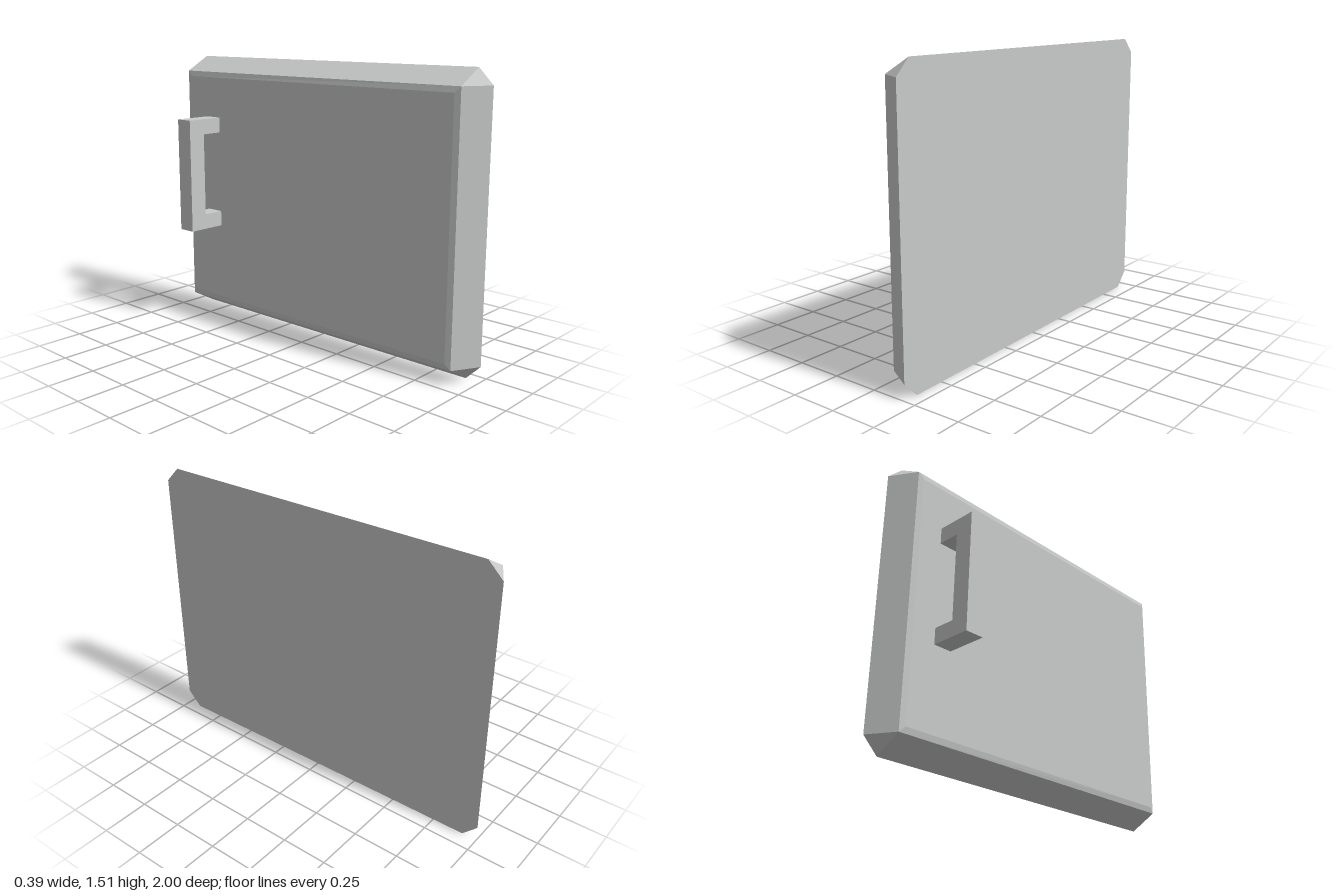
import * as THREE from 'three';

// Ring of eight points around the panel; a corner cut of 0 gives a rectangle.
function ring(halfZ, halfY, cut, x0, slope) {
  const points = [];
  for (const [su, sv, zFirst] of [[1, -1, false], [1, 1, true], [-1, 1, false], [-1, -1, true]]) {
    const onSide = [su * halfZ, sv * (halfY - cut)];
    const onTop = [su * (halfZ - cut), sv * halfY];
    const pair = zFirst ? [onSide, onTop] : [onTop, onSide];
    for (const [u, v] of pair) points.push(new THREE.Vector3(x0 - slope * u, 0.755 + v, -u));
  }
  return points;
}

// Closed solid through a list of rings, capped at both ends.
function loft(rings) {
  const positions = [];
  const triangle = (a, b, c) => {
    const area = b.clone().sub(a).cross(c.clone().sub(a)).length();
    if (area > 1e-8) for (const p of [a, b, c]) positions.push(p.x, p.y, p.z);
  };
  const first = rings[0], last = rings[rings.length - 1], n = first.length;
  for (let i = 1; i < n - 1; i++) {
    triangle(first[0], first[i], first[i + 1]);
    triangle(last[0], last[i + 1], last[i]);
  }
  for (let r = 0; r < rings.length - 1; r++) {
    const p = rings[r], q = rings[r + 1];
    for (let i = 0; i < n; i++) {
      const j = (i + 1) % n;
      triangle(p[i], q[i], p[j]);
      triangle(p[j], q[i], q[j]);
    }
  }
  const geometry = new THREE.BufferGeometry();
  geometry.setAttribute('position', new THREE.Float32BufferAttribute(positions, 3));
  geometry.computeVertexNormals();
  return geometry;
}

export function createModel() {
  const group = new THREE.Group();
  group.name = 'doorWithHandle';
  const grey = new THREE.MeshStandardMaterial({ color: 0xc8cac9, flatShading: true });
  grey.name = 'lightGrey';

  // Door panel: wide outer face, sloping rim, then a slight bevel to the inner face
  const panel = new THREE.Mesh(loft([
    ring(1, 0.755, 0.08, 0.179, 0.012),
    ring(0.92, 0.675, 0, 0.038, 0.012),
    ring(0.89, 0.645, 0, 0.031, 0.011),
  ]), grey);
  panel.name = 'doorPanel';
  group.add(panel);

  // Bracket handle, its two arms sunk into the panel
  const outline = [[0.05, 0.545], [0.05, 0.63], [-0.095, 0.63], [-0.095, 1.09],
    [0.05, 1.09], [0.05, 1.175], [-0.195, 1.175], [-0.195, 0.545]];
  const shape = new THREE.Shape(outline.map(([x, y]) => new THREE.Vector2(x, y)));
  const handle = new THREE.Mesh(
    new THREE.ExtrudeGeometry(shape, { depth: 0.1, bevelEnabled: false }), grey);
  handle.position.z = -0.76;
  handle.name = 'handle';
  group.add(handle);

  return group;
}
